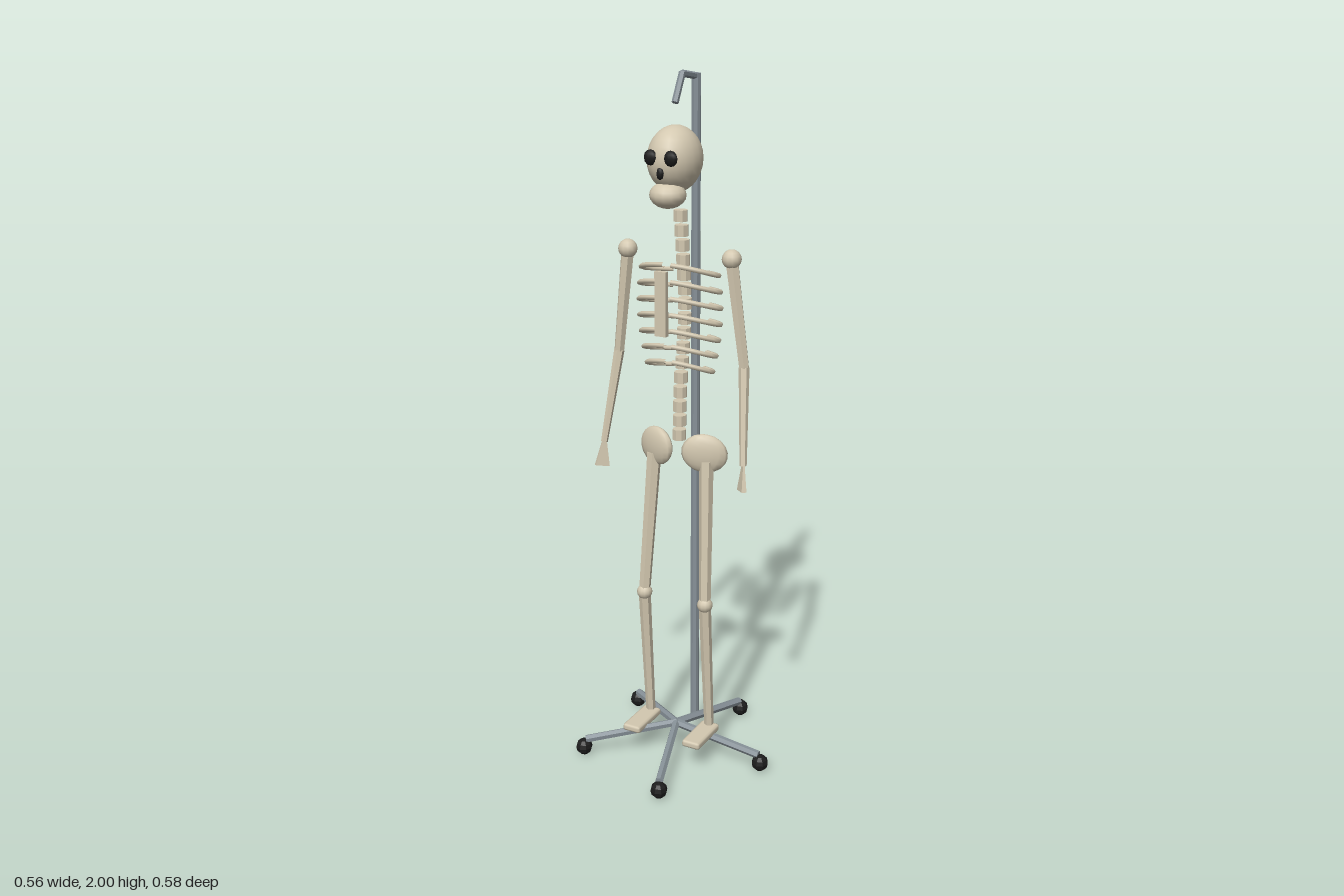
import * as THREE from 'three';
import { RoundedBoxGeometry } from 'three/addons/geometries/RoundedBoxGeometry.js';

const bone = new THREE.MeshStandardMaterial({ color: 0xd3c8b0 });
bone.name = 'bone';
const metal = new THREE.MeshStandardMaterial({ color: 0x879198 });
metal.name = 'steel';
const black = new THREE.MeshStandardMaterial({ color: 0x1c1c1c });
black.name = 'black';

const V = (x, y, z) => new THREE.Vector3(x, y, z);
const flat = (g) => {
  const f = g.toNonIndexed();
  f.computeVertexNormals();
  return f;
};

export function createModel() {
  const root = new THREE.Group();
  root.name = 'skeletonOnStand';
  const body = new THREE.Group();
  body.name = 'skeletonAndStand';
  body.position.x = -0.028;
  root.add(body);

  const add = (name, geo, mat, pos = V(0, 0, 0)) => {
    const m = new THREE.Mesh(geo, mat);
    m.name = name;
    m.position.copy(pos);
    body.add(m);
    return m;
  };
  // straight, optionally tapered rod from a to b
  const rod = (name, a, b, ra, rb, mat, sides = 6) => {
    const d = b.clone().sub(a);
    const m = add(name, flat(new THREE.CylinderGeometry(rb, ra, d.length(), sides)), mat, a.clone().lerp(b, 0.5));
    m.quaternion.setFromUnitVectors(V(0, 1, 0), d.normalize());
    return m;
  };
  const ball = (name, pos, rx, ry, rz, mat, w = 12, h = 8) => {
    const m = add(name, new THREE.SphereGeometry(1, w, h), mat, pos);
    m.scale.set(rx, ry, rz);
    return m;
  };

  // Stand: pole, hook and five-legged castor base
  rod('pole', V(0, 0.052, -0.12), V(0, 1.988, -0.12), 0.0135, 0.0135, metal, 8);
  rod('hookArm', V(0, 1.98, -0.12), V(0, 1.992, -0.04), 0.0095, 0.0095, metal);
  rod('hookTip', V(0, 1.995, -0.041), V(0, 1.92, 0), 0.0095, 0.0095, metal);
  for (let i = 0; i < 5; i++) {
    const a = (i * Math.PI * 2) / 5;
    const c = Math.cos(a), s = Math.sin(a);
    rod('baseLeg', V(0, 0.085, 0), V(0.275 * c, 0.05, 0.275 * s), 0.012, 0.012, metal);
    add('castor', flat(new THREE.SphereGeometry(0.025, 8, 6)), black, V(0.28 * c, 0.026, 0.28 * s));
  }

  // Skull
  ball('cranium', V(0, 1.775, 0), 0.072, 0.089, 0.087, bone, 20, 14);
  ball('jaw', V(0, 1.685, 0.041), 0.05, 0.036, 0.049, bone, 14, 10);
  for (const s of [-1, 1]) ball('eyeSocket', V(s * 0.03, 1.786, 0.08), 0.02, 0.021, 0.014, black, 8, 6);
  ball('noseHole', V(0, 1.746, 0.083), 0.011, 0.017, 0.012, black, 6, 4);

  // Spine: stacked vertebrae along a gentle curve
  const spine = new THREE.CatmullRomCurve3([
    V(0, 1.0, -0.022), V(0, 1.13, -0.028), V(0, 1.26, -0.046),
    V(0, 1.38, -0.056), V(0, 1.5, -0.045), V(0, 1.62, -0.03),
  ]);
  for (let i = 0; i < 16; i++) {
    add('vertebra', flat(new THREE.CylinderGeometry(0.02, 0.02, 0.031, 8)), bone, spine.getPointAt(i / 15));
  }
  add('sternum', new THREE.BoxGeometry(0.034, 0.178, 0.015), bone, V(0, 1.398, 0.08));

  // Ribs: sagging angular arcs, open at the back
  const ribs = 7;
  for (let i = 0; i < ribs; i++) {
    const bulge = 0.78 + 0.22 * Math.sin((Math.PI * (i + 2.2)) / (ribs + 1.6));
    const y = 1.472 - i * 0.0453;
    for (const s of [-1, 1]) {
      const pts = [];
      for (let k = 0; k <= 8; k++) {
        const t = 0.1 + (k / 8) * 2.55;
        const drop = 0.021 * Math.cos(t) + 0.005 * Math.cos(2 * t);
        pts.push(V(s * 0.123 * bulge * Math.sin(t), y + drop, -0.026 + 0.078 * bulge * Math.cos(t)));
      }
      add('rib', new THREE.TubeGeometry(new THREE.CatmullRomCurve3(pts), 8, 0.0068, 6), bone);
    }
  }

  for (const s of [-1, 1]) {
    // Arm
    const shoulder = V(s * 0.16, 1.517, -0.02);
    const elbow = V(s * 0.197, 1.22, -0.028);
    const wrist = V(s * 0.222, 0.955, 0.022);
    ball('shoulder', shoulder, 0.027, 0.027, 0.027, bone);
    rod('upperArm', shoulder, elbow, 0.019, 0.015, bone);
    rod('forearm', elbow, wrist, 0.015, 0.01, bone);
    // Hand: thin plate flaring towards the fingertips, turned outwards
    const hand = rod('hand', V(s * 0.224, 0.885, 0.033), wrist, 0.029, 0.01, bone, 4);
    hand.geometry.rotateY(Math.PI / 4).scale(1, 1, 0.35).rotateY(-s * 0.8);

    // Hip wing
    const hip = ball('pelvis', V(s * 0.077, 0.952, -0.028), 0.067, 0.057, 0.021, bone, 14, 10);
    hip.rotation.set(0, s * 0.38, -s * 0.22);

    // Leg
    const hipJoint = V(s * 0.084, 0.93, -0.026);
    const knee = V(s * 0.1, 0.502, 0.01);
    const ankle = V(s * 0.1, 0.085, -0.022);
    rod('thigh', hipJoint, knee, 0.021, 0.017, bone);
    ball('knee', knee, 0.023, 0.023, 0.023, bone);
    rod('shin', knee, ankle, 0.018, 0.014, bone);

    // Foot: flat plate with bevelled edges
    add('foot', new RoundedBoxGeometry(0.058, 0.022, 0.138, 1, 0.008), bone, V(s * 0.1, 0.086, 0.033));
  }
  return root;
}
